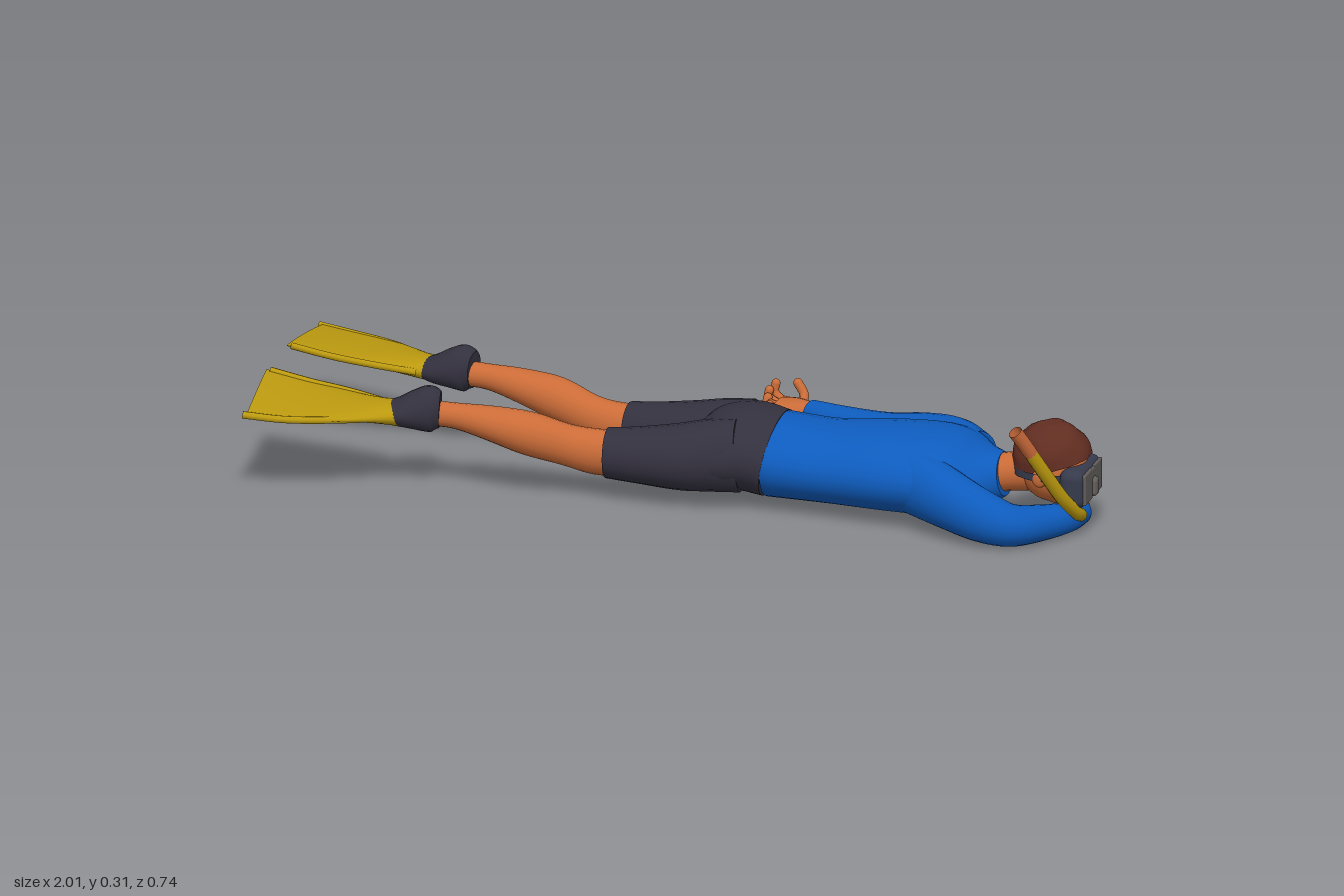
import * as THREE from 'three';
import { RoundedBoxGeometry } from 'three/addons/geometries/RoundedBoxGeometry.js';

const MID = 0.025; // z of the body's plane of symmetry

function material(name, color, side = THREE.FrontSide) {
  const m = new THREE.MeshStandardMaterial({ color, side });
  m.name = name;
  return m;
}

// Closed smooth body through sections [x, y, z, halfWidth, halfHeight]
function loft(sections, steps = 24, n = 20) {
  const path = new THREE.CatmullRomCurve3(sections.map(s => new THREE.Vector3(s[0], s[1], s[2])), false, 'catmullrom');
  const size = new THREE.CatmullRomCurve3(sections.map(s => new THREE.Vector3(s[3], s[4], 0)), false, 'catmullrom');
  const pos = [], idx = [], up = new THREE.Vector3(0, 1, 0);
  const ring = t => {
    const c = path.getPoint(t), r = size.getPoint(t), T = path.getTangent(t);
    const S = new THREE.Vector3().crossVectors(T, up).normalize();
    const N = new THREE.Vector3().crossVectors(S, T);
    for (let j = 0; j < n; j++) {
      const a = j / n * Math.PI * 2;
      const p = c.clone().addScaledVector(S, r.x * Math.cos(a)).addScaledVector(N, r.y * Math.sin(a));
      pos.push(p.x, p.y, p.z);
    }
    return c;
  };
  for (let i = 0; i <= steps; i++) ring(i / steps);
  for (let i = 0; i < steps; i++) for (let j = 0; j < n; j++) {
    const k = (j + 1) % n, a = i * n + j, b = i * n + k;
    idx.push(a, a + n, b, b, a + n, b + n);
  }
  for (const t of [0, 1]) { // end caps
    const base = pos.length / 3, c = ring(t);
    pos.push(c.x, c.y, c.z);
    for (let j = 0; j < n; j++) {
      const k = (j + 1) % n;
      idx.push(base + n, base + (t ? k : j), base + (t ? j : k));
    }
  }
  const g = new THREE.BufferGeometry();
  g.setAttribute('position', new THREE.Float32BufferAttribute(pos, 3));
  g.setIndex(idx);
  g.computeVertexNormals();
  return g;
}

function ball(rx, ry, rz) {
  return new THREE.SphereGeometry(1, 24, 16).scale(rx, ry, rz);
}

function tube(points, r, seg = 16) {
  return new THREE.TubeGeometry(new THREE.CatmullRomCurve3(points.map(p => new THREE.Vector3(...p))), seg, r, 10);
}

export function createModel() {
  const root = new THREE.Group();
  const blue = material('shirt blue', 0x0e5cbe);
  const dark = material('shorts charcoal', 0x34313f);
  const skin = material('skin', 0xcb6c38);
  const brown = material('hair brown', 0x612d21, THREE.DoubleSide);
  const yellow = material('fin yellow', 0xbb990f);
  const frame = material('mask slate', 0x363a4c, THREE.DoubleSide);
  const glass = material('lens grey', 0x625f5b);
  const orange = material('snorkel tip orange', 0xc9693a, THREE.DoubleSide);
  const add = (name, geo, mat, p = [0, 0, 0], parent = root) => {
    const m = new THREE.Mesh(geo, mat);
    m.name = name;
    m.position.set(...p);
    parent.add(m);
    return m;
  };

  // Torso and shorts
  add('torso', loft([
    [0.21, 0.122, 0.02, 0.141, 0.098], [0.35, 0.117, 0.022, 0.146, 0.094],
    [0.5, 0.12, 0.02, 0.17, 0.1], [0.62, 0.12, 0.018, 0.175, 0.098],
    [0.7, 0.115, 0.022, 0.135, 0.078], [0.77, 0.125, 0.025, 0.06, 0.052]], 36, 28), blue);
  add('shortsHips', loft([
    [0.21, 0.123, 0.02, 0.142, 0.1], [0.14, 0.135, 0.02, 0.15, 0.1],
    [0.07, 0.126, MID, 0.152, 0.085], [0.025, 0.12, MID, 0.1, 0.055]], 20, 28), dark);

  // Legs, boots and fins
  for (const s of [1, -1]) {
    const leg = new THREE.Group();
    leg.name = s > 0 ? 'leftLeg' : 'rightLeg';
    root.add(leg);
    const side = rows => rows.map(([x, y, z, a, b]) => [x, y, MID + s * z, a, b]);
    add('shortsLeg', loft(side([
      [0.14, 0.135, 0.07, 0.07, 0.09], [0.07, 0.13, 0.077, 0.08, 0.086], [0, 0.123, 0.085, 0.082, 0.079],
      [-0.1, 0.12, 0.092, 0.069, 0.067], [-0.175, 0.12, 0.097, 0.058, 0.06]])), dark, undefined, leg);
    add('lowerLeg', loft(side([
      [-0.12, 0.12, 0.095, 0.052, 0.054], [-0.2, 0.121, 0.098, 0.047, 0.055], [-0.27, 0.135, 0.108, 0.043, 0.05],
      [-0.36, 0.162, 0.128, 0.049, 0.052], [-0.45, 0.182, 0.138, 0.042, 0.041],
      [-0.53, 0.194, 0.144, 0.03, 0.031], [-0.6, 0.197, 0.148, 0.031, 0.03]])), skin, undefined, leg);
    add('boot', loft(side([
      [-0.568, 0.207, 0.146, 0.036, 0.045], [-0.59, 0.208, 0.15, 0.047, 0.056], [-0.62, 0.204, 0.154, 0.053, 0.049],
      [-0.66, 0.198, 0.159, 0.054, 0.034], [-0.7, 0.197, 0.165, 0.045, 0.02]])), dark, undefined, leg);
    // Blade rolls so its inner edge is higher
    const roll = g => {
      const p = g.attributes.position;
      for (let i = 0; i < p.count; i++) {
        const k = Math.min(1, Math.max(0, (-0.62 - p.getX(i)) / 0.38));
        p.setY(i, p.getY(i) + 0.12 * k * (0.21 - s * (p.getZ(i) - MID)));
      }
      g.computeVertexNormals();
      return g;
    };
    const blade = [
      [-0.63, 0.194, 0.158, 0.037, 0.036], [-0.7, 0.197, 0.168, 0.06, 0.024], [-0.8, 0.207, 0.189, 0.096, 0.013],
      [-0.9, 0.216, 0.204, 0.116, 0.009], [-0.998, 0.23, 0.212, 0.126, 0.007]];
    add('finBlade', roll(loft(side(blade), 24, 24)), yellow, undefined, leg);
    for (const e of [1, -1]) {
      add('finRail', roll(tube(side(blade).slice(1).map(([x, y, z, a]) => [x, y, z + e * (a - 0.005)]), 0.0085)),
        yellow, undefined, leg);
    }
  }

  // Trailing right arm with an open hand
  add('rightArm', loft([
    [0.67, 0.125, -0.07, 0.06, 0.065], [0.6, 0.13, -0.135, 0.066, 0.063], [0.52, 0.125, -0.178, 0.054, 0.057],
    [0.42, 0.112, -0.208, 0.047, 0.052], [0.31, 0.112, -0.253, 0.041, 0.04], [0.205, 0.117, -0.298, 0.031, 0.028]]), blue);
  const hand = new THREE.Group();
  hand.name = 'rightHand';
  root.add(hand);
  add('palm', loft([
    [0.225, 0.117, -0.29, 0.023, 0.022], [0.195, 0.117, -0.302, 0.03, 0.022],
    [0.155, 0.116, -0.316, 0.045, 0.021], [0.12, 0.12, -0.322, 0.037, 0.014]], 12, 16), skin, undefined, hand);
  for (let i = 0; i < 4; i++) {
    const z = -0.352 + i * 0.021, reach = [0.01, 0, 0.002, 0.012][i];
    const tip = [0.092 + reach, 0.157 - i * 0.011, z - 0.009];
    add('finger', tube([[0.145, 0.118, z], [0.108 + reach, 0.12, z - 0.003], [0.09 + reach, 0.136 - i * 0.004, z - 0.006], tip], 0.0105),
      skin, undefined, hand);
    add('fingertip', ball(0.0105, 0.0105, 0.0105), skin, tip, hand);
  }
  add('thumb', tube([[0.175, 0.118, -0.335], [0.172, 0.138, -0.355], [0.155, 0.162, -0.363]], 0.011), skin, undefined, hand);
  add('thumbTip', ball(0.011, 0.011, 0.011), skin, [0.155, 0.162, -0.363], hand);

  // Left arm folded forward under the face
  add('leftArm', loft([
    [0.58, 0.118, 0.115, 0.07, 0.082], [0.67, 0.1, 0.165, 0.062, 0.073], [0.76, 0.077, 0.197, 0.056, 0.063],
    [0.83, 0.058, 0.19, 0.05, 0.051], [0.89, 0.05, 0.13, 0.042, 0.043],
    [0.935, 0.046, 0.065, 0.035, 0.036], [0.95, 0.043, 0.005, 0.029, 0.031]], 36), blue);
  add('leftHand', ball(0.027, 0.025, 0.032), skin, [0.94, 0.056, -0.003]);

  // Head
  add('neck', loft([
    [0.72, 0.122, MID, 0.05, 0.045], [0.78, 0.132, MID, 0.046, 0.046], [0.86, 0.145, MID, 0.048, 0.05]], 10), skin);
  add('face', ball(0.082, 0.082, 0.074), skin, [0.89, 0.154, MID]);
  add('jaw', ball(0.055, 0.045, 0.05), skin, [0.905, 0.112, MID]);
  for (const s of [1, -1]) add('ear', ball(0.018, 0.022, 0.01), skin, [0.875, 0.148, MID + s * 0.076]);
  const hairGeo = new THREE.SphereGeometry(1, 26, 14, 0, Math.PI * 2, 0, Math.PI * 0.53);
  const hp = hairGeo.attributes.position;
  for (let i = 0; i < hp.count; i++) { // gentle tufts
    const x = hp.getX(i), y = hp.getY(i), z = hp.getZ(i);
    const k = 1 + 0.025 * Math.sin(9 * x + 2) * Math.cos(8 * z) + 0.015 * Math.sin(11 * y + 5 * z);
    hp.setXYZ(i, x * k, y * k, z * k);
  }
  hairGeo.rotateZ(0.3).scale(0.097, 0.096, 0.083);
  hairGeo.computeVertexNormals();
  add('hair', hairGeo, brown, [0.887, 0.172, MID]);

  // Diving mask
  add('maskFrame', new RoundedBoxGeometry(0.065, 0.096, 0.166, 3, 0.024), frame, [0.955, 0.127, 0.031]);
  for (const s of [1, -1]) {
    add('lens', new RoundedBoxGeometry(0.009, 0.076, 0.064, 2, 0.004), glass, [0.985, 0.128, 0.031 + s * 0.041]);
  }
  add('lensBridge', new RoundedBoxGeometry(0.009, 0.032, 0.03, 2, 0.004), glass, [0.985, 0.148, 0.031]);
  add('nosePocket', new RoundedBoxGeometry(0.026, 0.046, 0.03, 3, 0.01), glass, [0.987, 0.118, 0.031]);
  add('maskStrap', new THREE.CylinderGeometry(1, 1, 0.018, 32, 1, true).scale(0.097, 1, 0.086), frame, [0.89, 0.152, MID]);

  // Snorkel
  add('snorkelTube', tube([
    [0.965, 0.055, 0.065], [0.965, 0.068, 0.09], [0.945, 0.115, 0.138], [0.915, 0.185, 0.18], [0.885, 0.25, 0.212]], 0.0165, 24), yellow);
  add('mouthpiece', ball(0.0165, 0.0165, 0.0165), yellow, [0.965, 0.055, 0.065]);
  add('snorkelTip', tube([[0.886, 0.248, 0.211], [0.872, 0.28, 0.228], [0.857, 0.311, 0.245]], 0.0168, 6), orange);
  return root;
}
